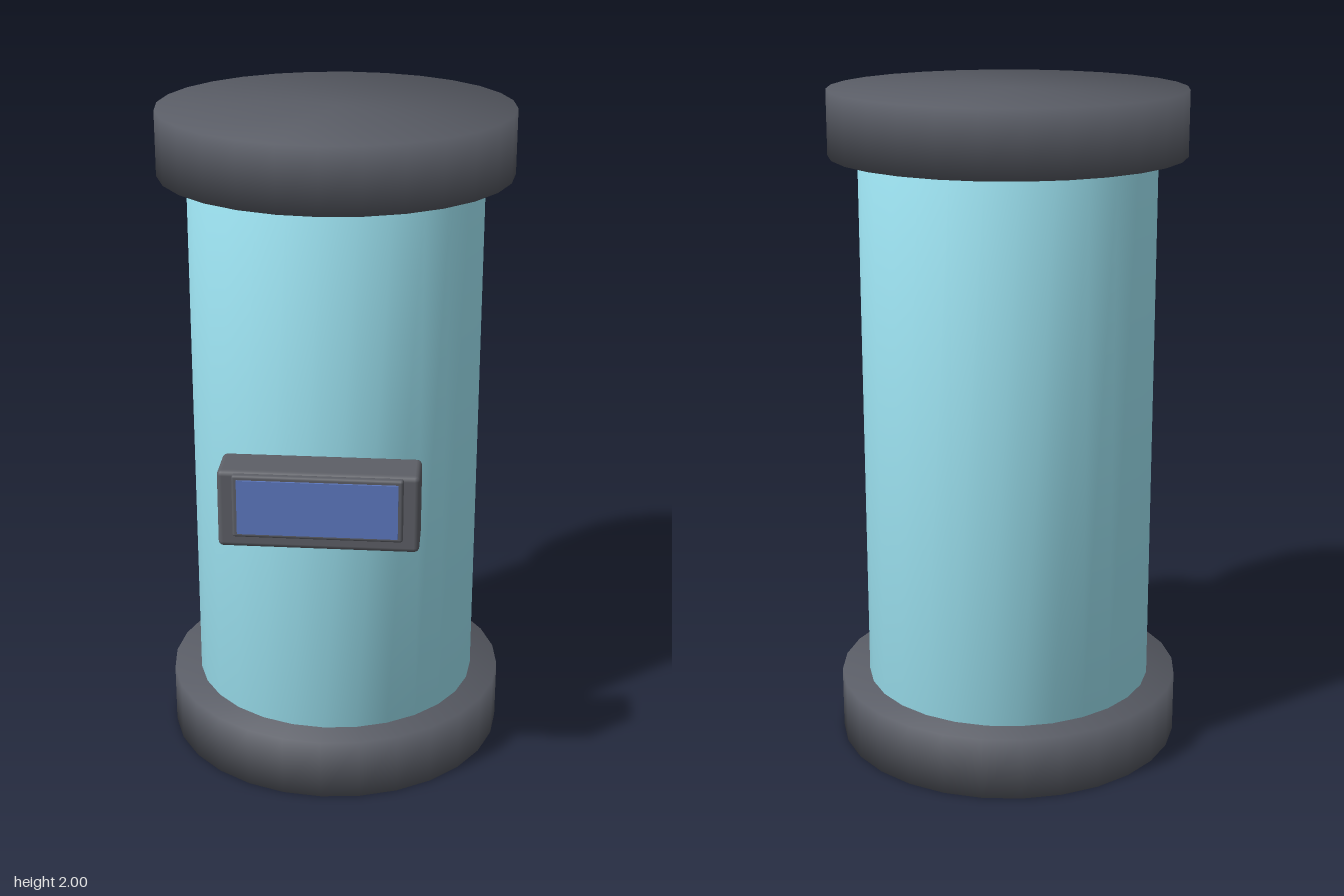
import * as THREE from 'three';
import { mergeVertices } from 'three/addons/utils/BufferGeometryUtils.js';
import { RoundedBoxGeometry } from 'three/addons/geometries/RoundedBoxGeometry.js';

const SIDES = 28;
const AXIS_Z = -0.05;

const darkMetal = new THREE.MeshStandardMaterial({ color: 0x595c65 });
const casing = new THREE.MeshStandardMaterial({ color: 0x5d5f66 });
const glass = new THREE.MeshStandardMaterial({ color: 0x9fe6f5 });
const display = new THREE.MeshStandardMaterial({ color: 0x5d79c0 });

// Closed drum whose normals are shared across the rims, for soft shading
function softDrum(radius, height) {
  const drum = new THREE.CylinderGeometry(radius, radius, height, SIDES);
  drum.deleteAttribute('normal');
  drum.deleteAttribute('uv');
  const merged = mergeVertices(drum, 1e-4);
  merged.computeVertexNormals();
  return merged;
}

function add(group, name, geometry, material, x, y, z) {
  const mesh = new THREE.Mesh(geometry, material);
  mesh.name = name;
  mesh.position.set(x, y, z);
  group.add(mesh);
}

export function createModel() {
  const model = new THREE.Group();
  model.name = 'tank';

  // Glass vessel between two heavy end caps
  add(model, 'glassCylinder', softDrum(0.438, 1.63), glass, 0, 1, AXIS_Z);
  const cap = softDrum(0.524, 0.19);
  add(model, 'baseCap', cap, darkMetal, 0, 0.095, AXIS_Z);
  add(model, 'topCap', cap, darkMetal, 0, 1.905, AXIS_Z);

  // Control panel on the front: housing, raised frame and screen
  const panel = new THREE.Group();
  panel.name = 'controlPanel';
  add(panel, 'housing', new RoundedBoxGeometry(0.568, 0.232, 0.14, 2, 0.015), casing, 0, 0.981, 0.473);
  add(panel, 'screenFrame', new RoundedBoxGeometry(0.478, 0.188, 0.023, 2, 0.008), casing, 0, 1.002, 0.557);
  add(panel, 'screen', new THREE.BoxGeometry(0.45, 0.162, 0.012), display, 0, 1.002, 0.568);
  model.add(panel);

  return model;
}
